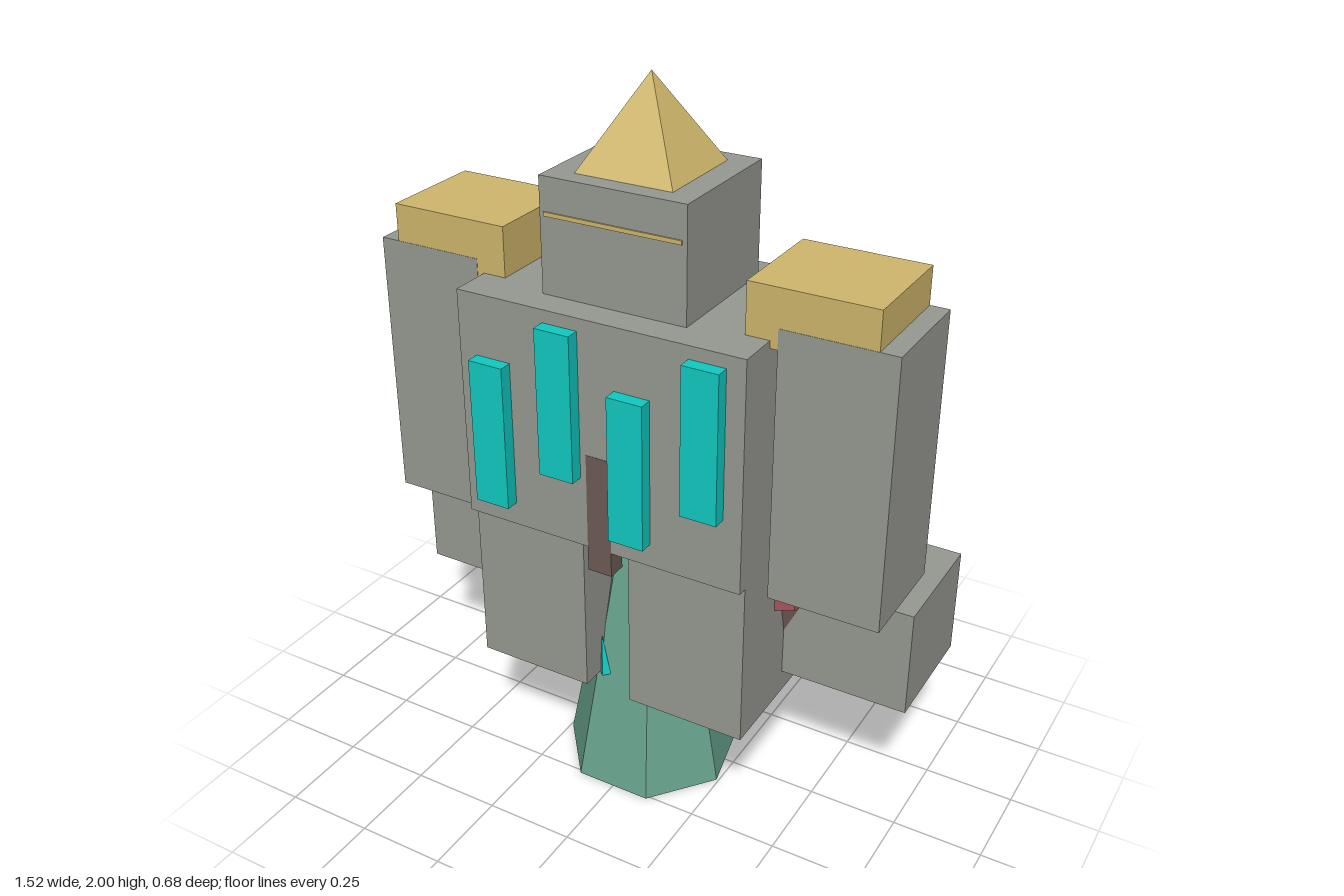
import * as THREE from 'three';

const mat = (name, color) => {
  const m = new THREE.MeshStandardMaterial({ color, flatShading: true });
  m.name = name;
  return m;
};

export function createModel() {
  const model = new THREE.Group();
  const grey = mat('stone grey', 0x979992);
  const gold = mat('gold', 0xd0b76c);
  const cyan = mat('bright cyan', 0x10cac2);
  const green = mat('sea green', 0x67a18c);
  const red = mat('dull red', 0xa5525c);
  const brown = mat('dark brown', 0x6e5b56);

  const add = (name, geometry, material) => {
    const mesh = new THREE.Mesh(geometry, material);
    mesh.name = name;
    model.add(mesh);
    return mesh;
  };
  // box given by its limits on each axis
  const box = (name, material, [x0, x1], [y0, y1], [z0, z1]) => {
    const mesh = add(name, new THREE.BoxGeometry(x1 - x0, y1 - y0, z1 - z0), material);
    mesh.position.set((x0 + x1) / 2, (y0 + y1) / 2, (z0 + z1) / 2);
    return mesh;
  };
  // box on one side of the body: s = 1 or -1
  const sideBox = (name, material, s, [a, b], y, z) =>
    box(name, material, s > 0 ? [a, b] : [-b, -a], y, z);
  // tapered faceted limb between two points
  const limb = (name, material, from, to, r0, r1, sides) => {
    const a = new THREE.Vector3(...from), b = new THREE.Vector3(...to);
    const dir = b.clone().sub(a);
    const mesh = add(name, new THREE.CylinderGeometry(r1, r0, dir.length(), sides), material);
    mesh.quaternion.setFromUnitVectors(new THREE.Vector3(0, 1, 0), dir.normalize());
    mesh.position.copy(a).add(b).multiplyScalar(0.5);
    return mesh;
  };

  // body and head
  box('torso', grey, [-0.405, 0.405], [0.82, 1.46], [-0.237, 0.303]);
  box('head', grey, [-0.203, 0.203], [1.45, 1.765], [-0.153, 0.22]);
  const spire = add('headSpire', new THREE.ConeGeometry(0.135 * Math.SQRT2, 0.235, 4), gold);
  spire.geometry.rotateY(Math.PI / 4);
  spire.position.set(0, 1.8825, 0.033);
  box('headBand', gold, [-0.19, 0.19], [1.665, 1.676], [-0.157, 0.224]);
  box('headBackPanel', cyan, [-0.135, 0.135], [1.545, 1.6], [-0.176, -0.15]);
  box('backPanel', cyan, [-0.17, 0.168], [1.02, 1.255], [-0.257, -0.23]);

  // staggered chest panels
  [-0.305, -0.102, 0.1, 0.304].forEach((x, i) => {
    const y = i % 2 ? 1.02 : 0.885;
    box('chestPanel', cyan, [x - 0.05, x + 0.05], [y, y + 0.405], [0.29, 0.34]);
  });

  // waist and hanging front strap
  box('waist', red, [-0.2, 0.2], [0.78, 0.9], [-0.12, 0.2]);
  box('frontStrap', brown, [-0.035, 0.035], [0.75, 1.09], [0.25, 0.304]);

  // flared seven-sided pedestal
  const base = add('pedestal', new THREE.CylinderGeometry(0.115, 0.25, 0.7, 7), green);
  base.geometry.rotateY(Math.PI);
  base.position.set(0, 0.35, 0.035);
  limb('pedestalNeck', grey, [0, 0.69, 0.035], [0, 0.8, 0.035], 0.06, 0.05, 7);
  limb('pedestalShard', cyan, [-0.055, 0.34, 0.2], [-0.064, 0.46, 0.2], 0.017, 0.001, 4);

  for (const s of [1, -1]) {
    // armour blocks
    sideBox('upperArm', grey, s, [0.425, 0.728], [0.75, 1.495], [-0.115, 0.187]);
    sideBox('shoulderPad', gold, s, [0.34, 0.676], [1.44, 1.597], [-0.114, 0.186]);
    sideBox('armBackPanel', cyan, s, [0.558, 0.595], [0.885, 1.19], [-0.132, -0.11]);
    sideBox('forearm', grey, s, [0.402, 0.762], [0.41, 0.715], [-0.305, 0.033]);
    sideBox('thigh', grey, s, [0.068, 0.405], [0.345, 0.825], [-0.2, 0.275]);

    // inner limbs showing between the blocks
    limb('innerArm', red, [s * 0.37, 0.65, 0.01], [s * 0.37, 1.12, 0.01], 0.105, 0.1, 7);
    limb('innerHand', brown, [s * 0.38, 0.545, -0.03], [s * 0.375, 0.68, -0.03], 0.075, 0.11, 7);
    limb('sideSpike', red, [s * 0.4, 1.46, -0.1], [s * 0.415, 1.29, -0.14], 0.025, 0.012, 4);

    // flaring fins on the back
    limb('backFin', red, [s * 0.19, 1.13, -0.24], [s * 0.39, 1.11, -0.24], 0.045, 0.1, 4);
  }
  return model;
}
